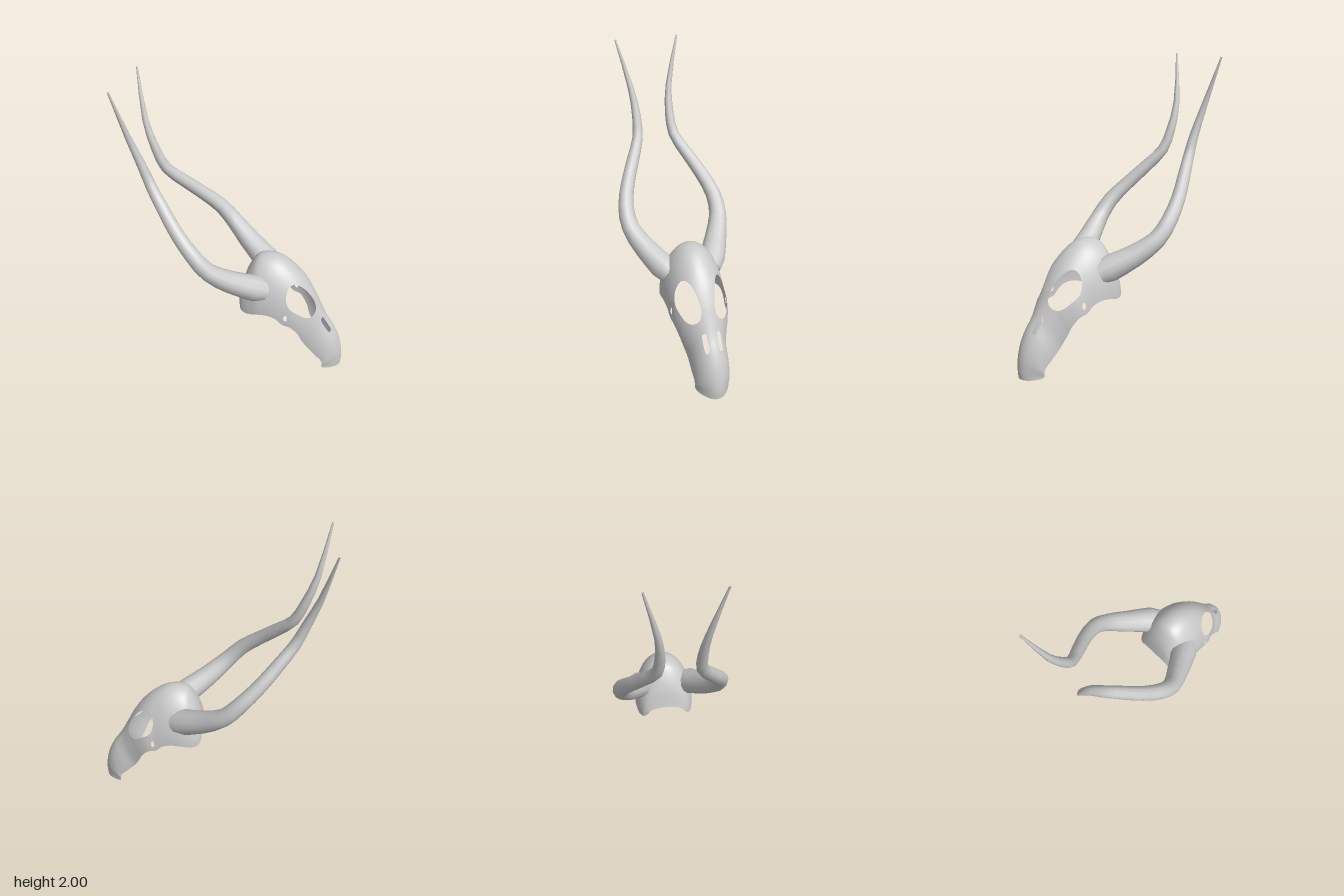
import * as THREE from 'three';

const V = (x, y, z) => new THREE.Vector3(x, y, z);
const bone = new THREE.MeshStandardMaterial({ color: 0xcccccc, side: THREE.DoubleSide });
const rad = THREE.MathUtils.degToRad;

// Skull stations from nape to muzzle: crown x, crown y, rim x, rim y, half width
const STATIONS = [
  [0.02, 0.56, 0.03, 0.50, 0.13],
  [0.05, 0.70, 0.05, 0.47, 0.165],
  [0.09, 0.79, 0.10, 0.465, 0.19],
  [0.135, 0.845, 0.17, 0.485, 0.205],
  [0.20, 0.862, 0.24, 0.49, 0.205],
  [0.28, 0.85, 0.30, 0.47, 0.20],
  [0.37, 0.795, 0.35, 0.425, 0.195],
  [0.46, 0.70, 0.40, 0.41, 0.19],
  [0.53, 0.59, 0.45, 0.35, 0.17],
  [0.575, 0.50, 0.48, 0.28, 0.15],
  [0.625, 0.405, 0.52, 0.205, 0.13],
  [0.68, 0.32, 0.58, 0.14, 0.125],
  [0.72, 0.235, 0.625, 0.09, 0.12],
  [0.745, 0.14, 0.635, 0.06, 0.12],
  [0.753, 0.06, 0.635, 0.03, 0.115],
  [0.75, 0.006, 0.65, 0.02, 0.11],
];
const LAST = STATIONS.length - 1;
const crown = new THREE.CatmullRomCurve3(STATIONS.map(s => V(s[0], s[1], s[4])));
const rim = new THREE.CatmullRomCurve3(STATIONS.map(s => V(s[2], s[3], 0)));

// Openings on each side: station, angle from the crown, their radii, slant, squareness
const HOLES = [
  { v: 7.4, a: rad(41), rv: 1.4, ra: rad(22), slant: rad(-7), p: 2.3 },   // eye socket
  { v: 10.25, a: rad(22), rv: 0.62, ra: rad(7), slant: 0, p: 4 },         // nasal slot
  { v: 6.25, a: rad(80), rv: 0.22, ra: rad(4), slant: 0, p: 2 },          // cheek foramen
];

// Point on the arched shell at station v and signed angle a
function shellPoint(v, a) {
  const t = crown.getPoint(v / LAST), b = rim.getPoint(v / LAST);
  const e = 1 + 0.8 * THREE.MathUtils.smoothstep(v, 11, LAST); // muzzle comes to a point
  const h = Math.pow(Math.max(0, Math.cos(a)), e);
  return V(b.x + (t.x - b.x) * h, b.y + (t.y - b.y) * h, t.z * Math.sin(a));
}

// Open-bottomed shell; grid points inside an opening slide out to its border
function skullGeometry() {
  const NV = 120, NA = 96, pos = [], idx = [], cut = [];
  for (let i = 0; i <= NV; i++) {
    for (let j = 0; j <= NA; j++) {
      let v = (i / NV) * LAST, a = (j / NA - 0.5) * Math.PI, inside = false;
      const side = Math.sign(a);
      for (const o of HOLES) {
        const dv = (v - o.v) / o.rv;
        const da = (Math.abs(a) - o.a - o.slant * (v - o.v)) / o.ra;
        const r = Math.pow(Math.abs(dv) ** o.p + Math.abs(da) ** o.p, 1 / o.p);
        if (r >= 1) continue;
        inside = true;
        const k = 1 / Math.max(r, 1e-3);
        v = o.v + dv * k * o.rv;
        a = side * (o.a + da * k * o.ra + o.slant * (v - o.v));
        break;
      }
      cut.push(inside);
      pos.push(...shellPoint(v, a).toArray());
    }
  }
  const tri = (...t) => { if (!t.every(n => cut[n])) idx.push(...t); };
  for (let i = 0; i < NV; i++) {
    for (let j = 0; j < NA; j++) {
      const p = i * (NA + 1) + j, q = p + NA + 1;
      tri(p, p + 1, q);
      tri(p + 1, q + 1, q);
    }
  }
  const g = new THREE.BufferGeometry();
  g.setAttribute('position', new THREE.Float32BufferAttribute(pos, 3));
  g.setIndex(idx);
  g.computeVertexNormals();
  return g;
}

// Horn centre line and radius: x, y, z, r
const HORN = [
  [0.20, 0.655, 0.135, 0.075],
  [0.14, 0.69, 0.175, 0.09],
  [0.00, 0.77, 0.255, 0.075],
  [-0.13, 0.87, 0.318, 0.06],
  [-0.23, 0.98, 0.32, 0.053],
  [-0.35, 1.10, 0.27, 0.047],
  [-0.46, 1.22, 0.20, 0.043],
  [-0.56, 1.34, 0.135, 0.037],
  [-0.62, 1.48, 0.122, 0.031],
  [-0.685, 1.67, 0.14, 0.021],
  [-0.75, 2.00, 0.222, 0.006],
];

// Tapered, curving tube; side is +1 or -1 across z
function hornGeometry(side) {
  const SIDES = 12, spans = HORN.length - 1, segs = spans * 2;
  const curve = new THREE.CatmullRomCurve3(HORN.map(h => V(h[0], h[1], h[2] * side)));
  curve.getPointAt = curve.getPoint;
  curve.getTangentAt = curve.getTangent;
  const g = new THREE.TubeGeometry(curve, segs, 1, SIDES);
  const p = g.attributes.position, c = V(), q = V();
  for (let n = 0; n < p.count; n++) {
    const t = Math.floor(n / (SIDES + 1)) / segs, s = t * spans;
    const k = Math.min(Math.floor(s), spans - 1);
    const r = THREE.MathUtils.lerp(HORN[k][3], HORN[k + 1][3], s - k);
    curve.getPoint(t, c);
    q.fromBufferAttribute(p, n).sub(c).multiplyScalar(r).add(c);
    p.setXYZ(n, q.x, q.y, q.z);
  }
  return g;
}

export function createModel() {
  const model = new THREE.Group();
  model.name = 'hornedSkull';
  const add = (name, geometry) => {
    const mesh = new THREE.Mesh(geometry, bone);
    mesh.name = name;
    model.add(mesh);
  };
  add('skull', skullGeometry());
  add('hornFrontSide', hornGeometry(1));
  add('hornBackSide', hornGeometry(-1));
  return model;
}
